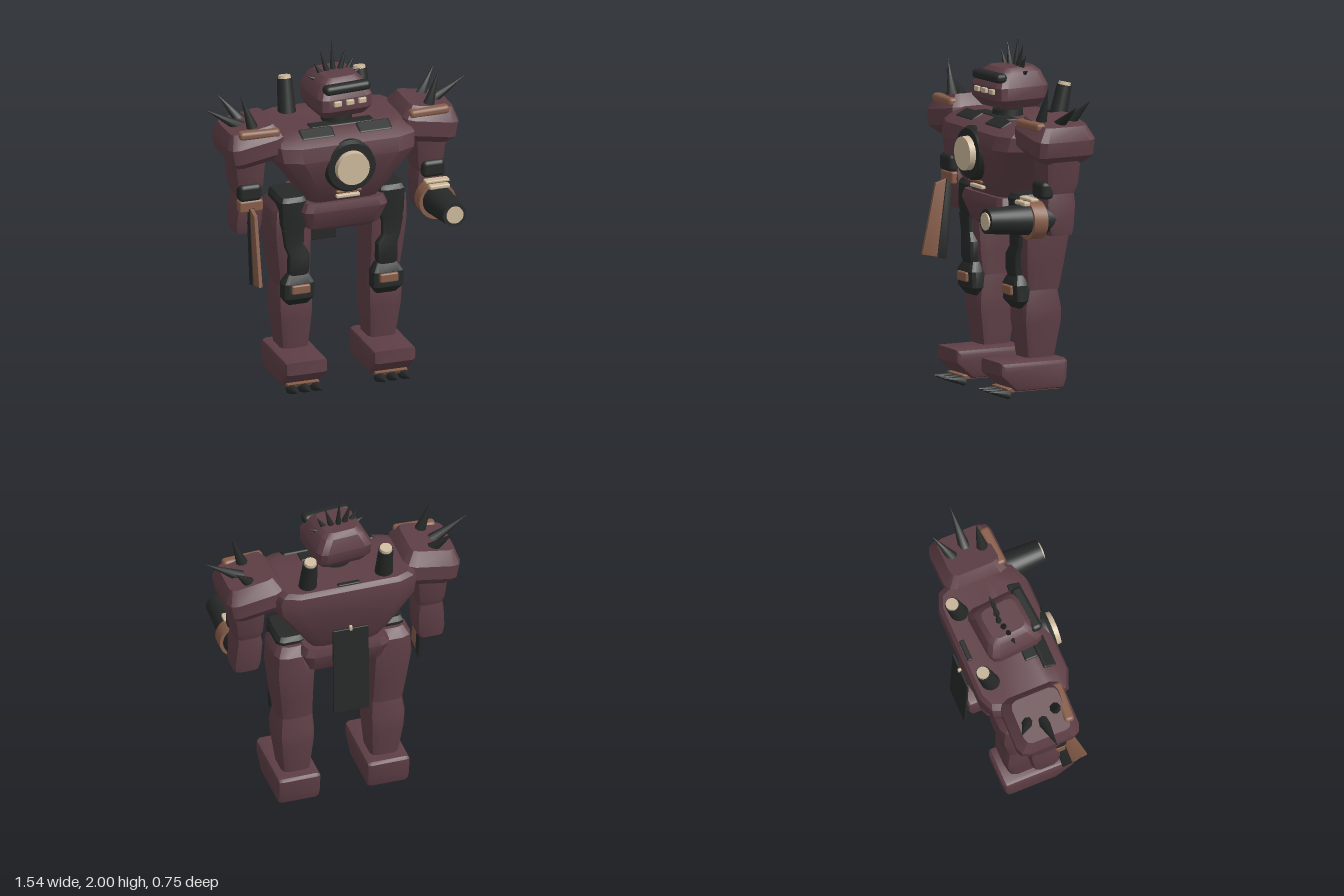
import * as THREE from 'three';
import { toCreasedNormals } from 'three/addons/utils/BufferGeometryUtils.js';
import { RoundedBoxGeometry } from 'three/addons/geometries/RoundedBoxGeometry.js';

const paint = (name, color) => Object.assign(new THREE.MeshStandardMaterial({ color }), { name });

// Skin through rounded rectangles: rows of [y, x0, x1, z0, z1, corner], mirrored in x when s is -1
function loft(rows, s = 1) {
  const rings = rows.map(([y, a, b, z0, z1, c]) => {
    const x0 = s > 0 ? a : -b, x1 = s > 0 ? b : -a, pts = [];
    const corners = [[x1 - c, z1 - c], [x0 + c, z1 - c], [x0 + c, z0 + c], [x1 - c, z0 + c]];
    corners.forEach(([x, z], k) => {
      for (let i = 0; i < 3; i++) {
        const t = (k + i / 2) * Math.PI / 2;
        pts.push([x + c * Math.cos(t), y, z + c * Math.sin(t)]);
      }
    });
    return pts;
  });
  const pos = [], n = 12, tri = (...p) => p.forEach(q => pos.push(...q));
  for (let r = 0; r < rings.length - 1; r++) {
    for (let i = 0; i < n; i++) {
      const j = (i + 1) % n, lo = rings[r], hi = rings[r + 1];
      tri(lo[i], hi[i], lo[j]);
      tri(hi[i], hi[j], lo[j]);
    }
  }
  const first = rings[0], last = rings[rings.length - 1];
  for (let i = 1; i < n - 1; i++) {
    tri(first[0], first[i], first[i + 1]);
    tri(last[0], last[i + 1], last[i]);
  }
  const g = new THREE.BufferGeometry();
  g.setAttribute('position', new THREE.Float32BufferAttribute(pos, 3));
  return toCreasedNormals(g, 0.55);
}

// Side outline in (z, y), extruded across x and centred on it
function sideExtrude(points, width, bevel) {
  const shape = new THREE.Shape(points.map(p => new THREE.Vector2(...p)));
  const g = new THREE.ExtrudeGeometry(shape, {
    depth: width - 2 * bevel, bevelEnabled: bevel > 0, bevelSize: bevel,
    bevelThickness: bevel, bevelOffset: -bevel, bevelSegments: 2,
  });
  g.translate(0, 0, -(width - 2 * bevel) / 2).rotateY(-Math.PI / 2);
  return toCreasedNormals(g, 0.5);
}

const block = (w, h, d, r = 0.01) => new RoundedBoxGeometry(w, h, d, 2, r);

export function createModel() {
  const maroon = paint('maroon armour', 0x5e3f46);
  const black = paint('black metal', 0x272929);
  const tan = paint('tan metal', 0xcdb99c);
  const brown = paint('copper brown', 0x875d49);
  const model = new THREE.Group();
  model.name = 'robot';

  function add(name, geo, mat, pos = [0, 0, 0], rot = [0, 0, 0], parent = model) {
    const m = new THREE.Mesh(geo, mat);
    m.name = name;
    m.position.set(...pos);
    m.rotation.set(...rot);
    parent.add(m);
    return m;
  }
  // Tapered rod between two points
  function rod(name, from, to, r0, r1, mat, sides = 20, parent = model) {
    const a = new THREE.Vector3(...from), b = new THREE.Vector3(...to), d = b.clone().sub(a);
    const g = new THREE.CylinderGeometry(r1, r0, d.length(), sides);
    const m = add(name, toCreasedNormals(g, 0.9), mat, a.clone().add(b).multiplyScalar(0.5).toArray(), undefined, parent);
    m.quaternion.setFromUnitVectors(new THREE.Vector3(0, 1, 0), d.normalize());
  }
  const spike = (name, from, to, r, parent) => rod(name, from, to, r, 0.0005, black, 8, parent);

  // Torso and pelvis
  add('torso', loft([
    [1.11, -0.2, 0.2, -0.27, 0.07, 0.06], [1.2, -0.26, 0.26, -0.32, 0.13, 0.09],
    [1.41, -0.43, 0.43, -0.36, 0.185, 0.15], [1.49, -0.44, 0.44, -0.365, 0.165, 0.15],
    [1.53, -0.42, 0.42, -0.36, 0.11, 0.13], [1.555, -0.38, 0.38, -0.34, 0.05, 0.1],
  ]), maroon);
  add('pelvis', loft([
    [0.935, -0.18, 0.18, -0.24, 0.04, 0.04], [0.96, -0.22, 0.22, -0.27, 0.07, 0.05],
    [1.07, -0.26, 0.26, -0.31, 0.11, 0.06], [1.12, -0.24, 0.24, -0.3, 0.1, 0.06],
  ]), maroon);

  // Chest reactor: dark dished ring around a tan drum
  const ring = [[0.1, 0.08], [0.155, 0.08], [0.155, 0.16], [0.14, 0.185], [0.1, 0.185]];
  const ringGeo = new THREE.LatheGeometry(ring.map(p => new THREE.Vector2(...p)), 32);
  add('chestRing', toCreasedNormals(ringGeo, 0.5), black, [0, 1.355, 0], [Math.PI / 2, 0, 0]);
  rod('chestCore', [0, 1.355, 0.1], [0, 1.355, 0.22], 0.1, 0.095, tan, 32);
  add('beltPlate', block(0.14, 0.02, 0.03, 0.006), tan, [0, 1.163, 0.12]);
  add('beltStrip', block(0.15, 0.016, 0.03, 0.005), brown, [0, 1.195, 0.13]);
  add('collar', block(0.38, 0.03, 0.08), black, [0, 1.547, 0.0]);

  // Back plate and slot
  add('backPlate', block(0.21, 0.56, 0.014, 0.004), black, [0, 0.99, -0.361], [0.025, 0, 0]);
  add('backPlatePin', block(0.016, 0.03, 0.02, 0.004), tan, [0, 1.275, -0.36]);
  add('backSlot', block(0.13, 0.016, 0.03, 0.006), black, [0, 1.556, -0.322]);

  // Head, turned slightly to one side
  rod('neckBase', [0, 1.54, -0.07], [0, 1.592, -0.07], 0.09, 0.085, black);
  rod('neck', [0, 1.585, -0.07], [0, 1.64, -0.07], 0.065, 0.065, black);
  const head = new THREE.Group();
  head.name = 'head';
  head.position.set(0, 0, -0.09);
  head.rotation.y = 0.08;
  model.add(head);
  add('skull', loft([
    [1.61, -0.13, 0.13, -0.11, 0.13, 0.03], [1.66, -0.165, 0.165, -0.15, 0.175, 0.05],
    [1.73, -0.165, 0.165, -0.165, 0.175, 0.05], [1.81, -0.125, 0.125, -0.14, 0.13, 0.05],
    [1.835, -0.095, 0.095, -0.11, 0.1, 0.04],
  ]), maroon, undefined, undefined, head);
  add('visor', block(0.28, 0.055, 0.07, 0.024), black, [0.005, 1.785, 0.145], undefined, head);
  for (const x of [-0.065, 0.01, 0.085]) {
    add('tooth', block(0.046, 0.03, 0.03, 0.005), tan, [x, 1.708, 0.177], undefined, head);
  }
  // Crown of spikes: [base x, base y, tip x, tip y]
  spike('crownSpike', [0, 1.81, -0.03], [0, 2.0, -0.05], 0.02, head);
  for (const s of [-1, 1]) {
    for (const [x, y, tx, ty] of [[0.035, 1.81, 0.08, 1.955], [0.07, 1.8, 0.125, 1.9], [0.1, 1.79, 0.16, 1.82]]) {
      spike('crownSpike', [s * x, y, -0.03 + x * 0.2], [s * tx, ty, -0.04 + x * 0.3], 0.022, head);
    }
  }

  for (const s of [-1, 1]) {
    const side = s > 0 ? 'left' : 'right';

    // Chest vents and exhaust stacks
    add(side + 'ChestVent', block(0.2, 0.025, 0.085, 0.012), black, [s * 0.17, 1.537, 0.078], [0.48, 0, 0]);
    rod(side + 'Exhaust', [s * 0.225, 1.48, -0.25], [s * 0.222, 1.735, -0.31], 0.056, 0.042, black);
    rod(side + 'ExhaustTip', [s * 0.222, 1.73, -0.309], [s * 0.222, 1.752, -0.314], 0.037, 0.034, tan);

    // Shoulder, its top falling away outward
    add(side + 'Shoulder', loft([
      [-0.11, -0.12, 0.13, -0.15, 0.13, 0.04], [-0.06, -0.17, 0.165, -0.185, 0.185, 0.05],
      [0.03, -0.17, 0.17, -0.19, 0.19, 0.06], [0.105, -0.13, 0.13, -0.14, 0.14, 0.04],
    ], s), maroon, [s * 0.515, 1.494, -0.09], [0, 0, -s * 0.17]);
    add(side + 'ShoulderBar', block(0.24, 0.05, 0.06, 0.02), brown, [s * 0.505, 1.575, 0.055], [0, s * 0.06, 0]);
    spike(side + 'ShoulderSpike', [s * 0.52, 1.58, 0], [s * 0.59, 1.79, -0.01], 0.036);
    spike(side + 'ShoulderSpike', [s * 0.56, 1.57, -0.09], [s * 0.77, 1.7, -0.09], 0.036);
    spike(side + 'ShoulderSpike', [s * 0.53, 1.57, -0.17], [s * 0.64, 1.71, -0.25], 0.036);

    // Arm
    add(side + 'UpperArm', loft([
      [1.19, 0.46, 0.61, -0.18, 0.0, 0.04], [1.24, 0.45, 0.62, -0.2, 0.015, 0.04],
      [1.42, 0.44, 0.64, -0.21, 0.025, 0.04],
    ], s), maroon);
    add(side + 'ElbowPad', block(0.135, 0.1, 0.08, 0.025), black, [s * 0.545, 1.212, 0.0]);
    add(side + 'Forearm', loft([
      [0.955, 0.47, 0.615, -0.16, -0.015, 0.03], [1.0, 0.455, 0.625, -0.17, 0.0, 0.04],
      [1.13, 0.45, 0.615, -0.185, 0.01, 0.04], [1.2, 0.465, 0.605, -0.18, 0.0, 0.04],
    ], s), maroon);

    // Hip and leg
    add(side + 'Hip', loft([
      [0.92, 0.23, 0.35, -0.12, 0.05, 0.03], [1.0, 0.21, 0.37, -0.18, 0.06, 0.04],
      [1.13, 0.21, 0.375, -0.2, 0.06, 0.04], [1.155, 0.22, 0.36, -0.18, 0.04, 0.03],
    ], s), black);
    add(side + 'Thigh', loft([
      [0.61, 0.165, 0.365, -0.22, 0.0, 0.05], [0.75, 0.165, 0.385, -0.245, 0.02, 0.06],
      [0.93, 0.165, 0.405, -0.27, 0.03, 0.06], [1.06, 0.19, 0.4, -0.26, 0.03, 0.06],
      [1.11, 0.21, 0.37, -0.22, 0.01, 0.05],
    ], s), maroon);
    add(side + 'ThighGuard', loft([
      [0.67, 0.21, 0.32, -0.03, 0.045, 0.02], [0.72, 0.2, 0.325, -0.03, 0.06, 0.02],
      [0.81, 0.2, 0.325, -0.03, 0.06, 0.02], [0.86, 0.23, 0.345, -0.03, 0.05, 0.02],
      [0.96, 0.23, 0.36, -0.03, 0.055, 0.02],
    ], s), black);
    add(side + 'Shin', loft([
      [0.225, 0.175, 0.345, -0.195, -0.01, 0.04], [0.42, 0.16, 0.37, -0.23, 0.02, 0.05],
      [0.5, 0.158, 0.375, -0.23, 0.02, 0.05], [0.625, 0.165, 0.36, -0.21, 0.0, 0.05],
    ], s), maroon);
    add(side + 'KneeCap', loft([
      [0.505, 0.2, 0.325, -0.02, 0.03, 0.02], [0.55, 0.17, 0.36, -0.03, 0.065, 0.03],
      [0.64, 0.17, 0.36, -0.03, 0.07, 0.03], [0.695, 0.2, 0.325, -0.02, 0.045, 0.02],
    ], s), black);
    add(side + 'KneePlate', block(0.11, 0.055, 0.04, 0.01), brown, [s * 0.262, 0.61, 0.065]);

    // Foot with sole and toe claws
    add(side + 'Foot', sideExtrude([
      [0.18, 0.215], [0.182, 0.14], [0.075, 0.045], [-0.225, 0.045], [-0.245, 0.1], [-0.25, 0.2], [-0.235, 0.215],
    ], 0.255, 0.028), maroon, [s * 0.262, 0, 0]);
    add(side + 'Sole', sideExtrude([
      [0.125, 0.062], [0.11, 0.04], [-0.21, 0.04], [-0.21, 0.055], [0.02, 0.075],
    ], 0.19, 0.004), brown, [s * 0.262, 0, 0]);
    for (const x of [0.19, 0.262, 0.335]) {
      spike(side + 'ToeClaw', [s * x, 0.031, 0.105], [s * x, 0.05, 0.23], 0.031);
    }
  }

  // Right arm blade: dark spine with copper cutting edge
  add('bladeCuff', block(0.14, 0.07, 0.07, 0.012), brown, [-0.54, 1.13, -0.005]);
  add('bladeSpine', sideExtrude([
    [0.092, 0.68], [0.035, 0.665], [-0.01, 1.1], [0.035, 1.12],
  ], 0.032, 0.004), black, [-0.54, 0, 0]);
  add('bladeEdge', sideExtrude([
    [0.185, 0.7], [0.09, 0.68], [0.033, 1.12], [0.1, 1.1],
  ], 0.022, 0.004), brown, [-0.54, 0, 0]);

  // Left arm cannon
  rod('cannonCollar', [0.54, 1.045, 0.02], [0.54, 1.045, 0.105], 0.108, 0.108, brown, 28);
  rod('cannonMount', [0.54, 1.045, -0.06], [0.54, 1.045, 0.03], 0.08, 0.09, black, 28);
  rod('cannonBarrel', [0.54, 1.05, 0.09], [0.548, 1.06, 0.365], 0.09, 0.07, black, 28);
  rod('cannonMuzzle', [0.548, 1.06, 0.35], [0.548, 1.06, 0.373], 0.05, 0.05, tan, 24);
  add('cannonSight', block(0.12, 0.025, 0.04, 0.008), tan, [0.54, 1.145, 0.128]);
  add('cannonRail', block(0.14, 0.016, 0.05, 0.005), tan, [0.54, 1.165, 0.085]);

  return model;
}
